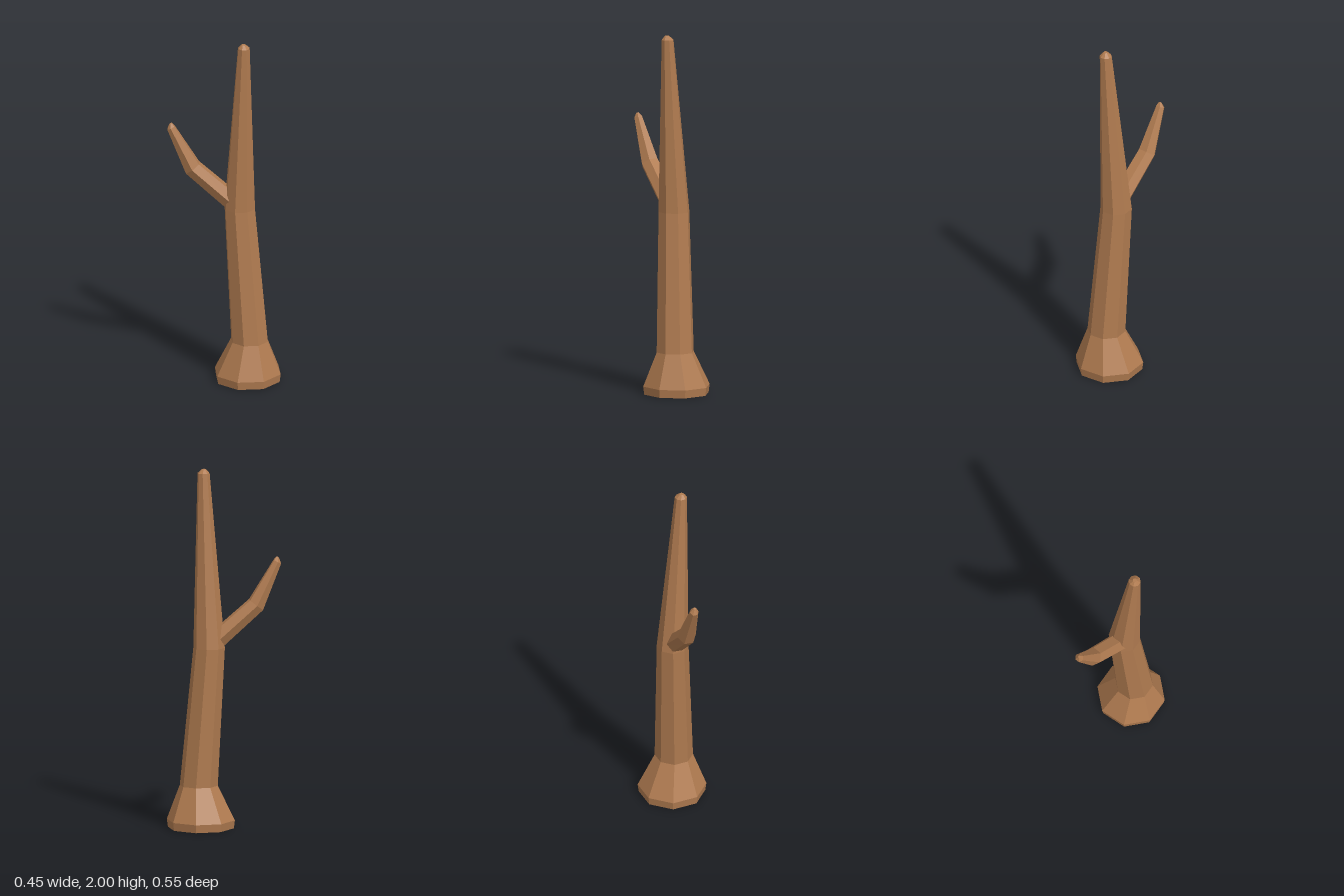
import * as THREE from 'three';

// Lofts flat-shaded rings [x, y, z, radius] with radius 0 closing an end.
// frame(i) gives the normal of ring i, u the ring's first axis.
function loft(rings, sides, phase, u, normalOf, material) {
  const points = rings.map(([x, y, z, r], i) => {
    const v = normalOf(i).cross(u).normalize();
    return Array.from({ length: sides }, (_, k) => {
      const a = phase + (k / sides) * Math.PI * 2;
      return new THREE.Vector3(x, y, z)
        .addScaledVector(u, r * Math.cos(a))
        .addScaledVector(v, r * Math.sin(a));
    });
  });
  const pos = [];
  const tri = (...corners) => corners.forEach((p) => pos.push(p.x, p.y, p.z));
  for (let i = 0; i < rings.length - 1; i++) {
    for (let k = 0; k < sides; k++) {
      const n = (k + 1) % sides;
      const [a, b, c, d] = [points[i][k], points[i][n], points[i + 1][n], points[i + 1][k]];
      if (rings[i][3] > 0) tri(a, b, c);
      if (rings[i + 1][3] > 0) tri(a, c, d);
    }
  }
  const geometry = new THREE.BufferGeometry();
  geometry.setAttribute('position', new THREE.Float32BufferAttribute(pos, 3));
  geometry.computeVertexNormals();
  return new THREE.Mesh(geometry, material);
}

export function createModel() {
  const group = new THREE.Group();
  group.name = 'bareTree';
  const bark = new THREE.MeshStandardMaterial({ color: 0xb07b50, flatShading: true });

  // Leaning eight-sided trunk with a flared foot and a blunt tip
  const trunk = loft([
    [0.048, 0, 0.097, 0],
    [0.048, 0, 0.097, 0.184],
    [0.048, 0.045, 0.097, 0.19],
    [0.043, 0.235, 0.113, 0.106],
    [0.03, 1.01, 0.055, 0.088],
    [0, 1.978, 0.107, 0.034],
    [-0.004, 2, 0.107, 0.012],
    [-0.004, 2, 0.107, 0],
  ], 8, THREE.MathUtils.degToRad(21), new THREE.Vector3(1, 0, 0),
  () => new THREE.Vector3(0, 1, 0), bark);
  trunk.name = 'trunk';
  group.add(trunk);

  // Six-sided side branch, bending upward halfway
  const branchRings = [
    [0.0, 1.055, 0.02, 0],
    [0.0, 1.055, 0.02, 0.055],
    [-0.125, 1.245, -0.155, 0.052],
    [-0.2, 1.483, -0.248, 0.025],
    [-0.204, 1.508, -0.248, 0.008],
    [-0.204, 1.508, -0.248, 0],
  ];
  const low = new THREE.Vector3(-0.125, 0.19, -0.175).normalize();
  const high = new THREE.Vector3(-0.075, 0.238, -0.093).normalize();
  const bend = low.clone().add(high).normalize();
  const normals = [low, low, bend, high, high, high];
  const side = new THREE.Vector3(0.8, 0, -0.6).normalize();
  const branch = loft(branchRings, 6, 0, side, (i) => normals[i].clone(), bark);
  branch.name = 'branch';
  group.add(branch);

  return group;
}
